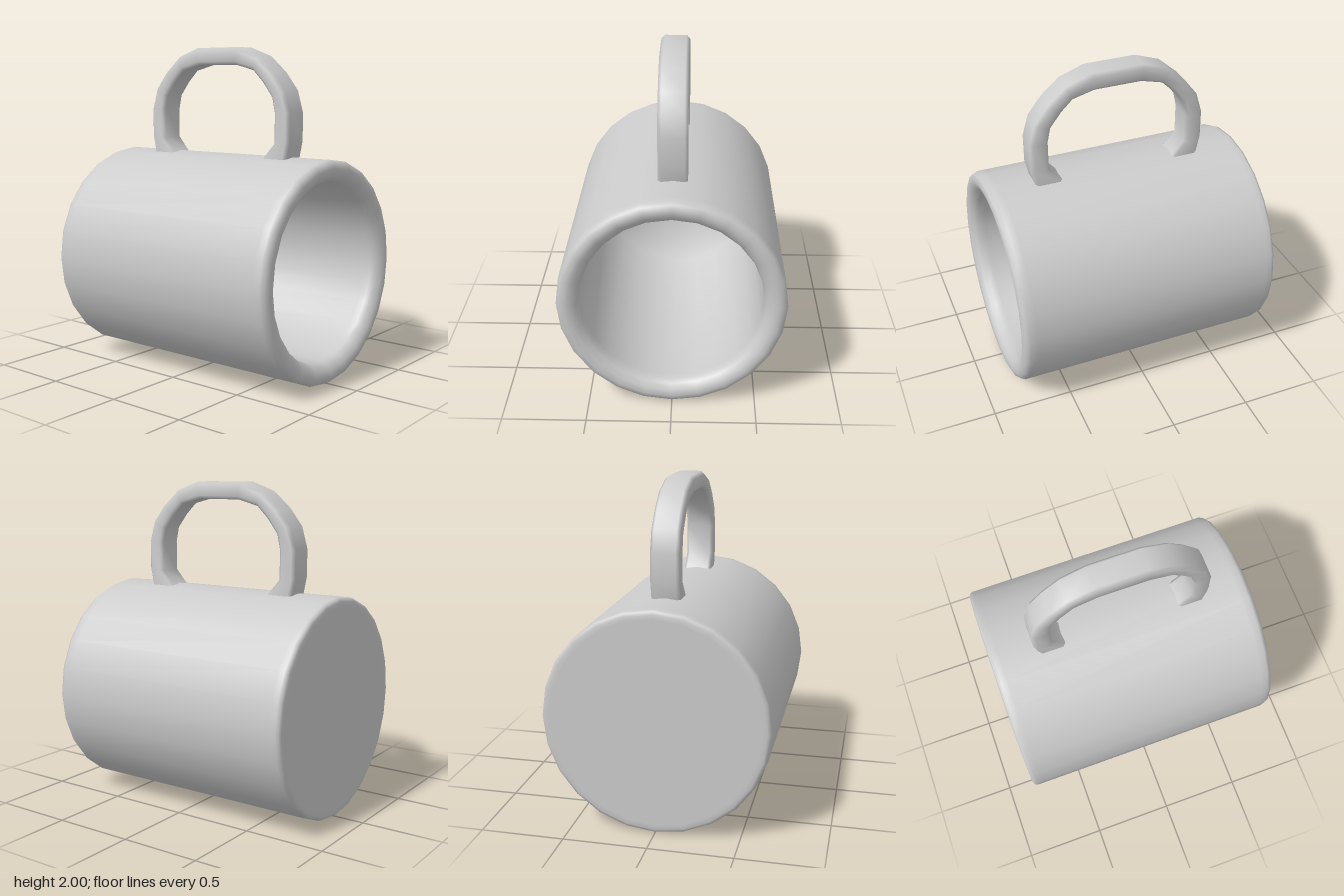
import * as THREE from 'three';

const material = new THREE.MeshStandardMaterial({ color: 0xcccccc });

// Hollow cup turned on its axis, then laid down with the mouth facing +z.
function createCup() {
  const profile = [
    [0, -0.82], [0.62, -0.82], [0.648, -0.82], [0.665, -0.812], [0.672, -0.795], [0.672, -0.76], // closed end
    [0.672, 0.74], [0.672, 0.785], [0.658, 0.81], [0.625, 0.822], [0.588, 0.815], // rounded rim
    [0.556, 0.79], [0.542, 0.76], [0.54, 0.72], // inner lip
    [0.54, -0.69], [0, -0.69], // inner wall and floor
  ].map(([r, h]) => new THREE.Vector2(r, h));
  const geometry = new THREE.LatheGeometry(profile, 24);
  geometry.rotateX(Math.PI / 2);
  const cup = new THREE.Mesh(geometry, material);
  cup.name = 'cup';
  cup.position.y = 0.673;
  return cup;
}

// Handle: bevelled rectangular sections swept over the arch.
function createHandle() {
  // outer z, outer y, inner z, inner y, from the foot to the crown
  const half = [
    [0.515, 1.27, 0.3, 1.27],
    [0.53, 1.345, 0.367, 1.345],
    [0.55, 1.44, 0.44, 1.425],
    [0.55, 1.61, 0.44, 1.61],
    [0.512, 1.74, 0.421, 1.7],
    [0.43, 1.845, 0.352, 1.79],
    [0.315, 1.945, 0.28, 1.86],
    [0.16, 2, 0.145, 1.895],
  ];
  const mirrored = half.map(([oz, oy, iz, iy]) => [-oz, oy, -iz, iy]).reverse();
  const stations = [...half, ...mirrored];
  const w = 0.087, b = 0.02;
  const positions = [], index = [];

  stations.forEach(([oz, oy, iz, iy], k) => {
    const t = b / Math.hypot(oz - iz, oy - iy);
    const ring = [
      [-w + b, 1], [w - b, 1], [w, 1 - t], [w, t],
      [w - b, 0], [-w + b, 0], [-w, t], [-w, 1 - t],
    ];
    ring.forEach(([x, f], j) => {
      positions.push(x, iy + (oy - iy) * f, iz + (oz - iz) * f);
      if (k === stations.length - 1) return;
      const a = k * 8 + j, n = k * 8 + (j + 1) % 8;
      index.push(a, n, a + 8, n, n + 8, a + 8);
    });
  });

  const geometry = new THREE.BufferGeometry();
  geometry.setAttribute('position', new THREE.Float32BufferAttribute(positions, 3));
  geometry.setIndex(index);
  geometry.computeVertexNormals();
  const handle = new THREE.Mesh(geometry, material);
  handle.name = 'handle';
  return handle;
}

export function createModel() {
  const mug = new THREE.Group();
  mug.name = 'mug';
  mug.add(createCup(), createHandle());
  return mug;
}
